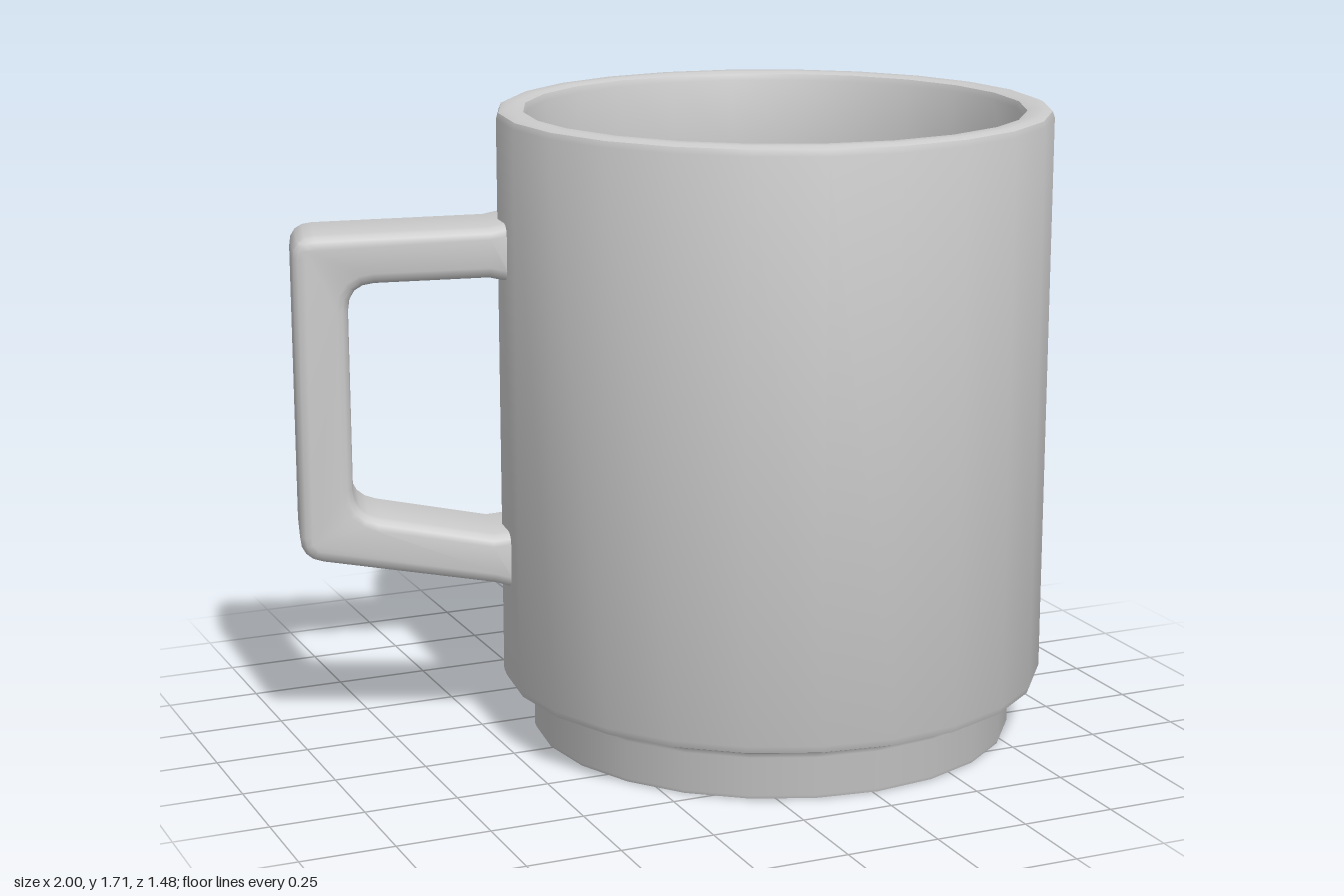
import * as THREE from 'three';
import { toCreasedNormals } from 'three/addons/utils/BufferGeometryUtils.js';

const SIDES = 24;
const material = new THREE.MeshStandardMaterial({ color: 0xcccccc });

function addMesh(parent, name, geometry) {
  const mesh = new THREE.Mesh(geometry, material);
  mesh.name = name;
  parent.add(mesh);
  return mesh;
}

// Closed outline whose listed corners [x, y, radius] are rounded
function roundedShape(corners) {
  const shape = new THREE.Shape();
  const pts = corners.map(([x, y]) => new THREE.Vector2(x, y));
  const n = pts.length;
  const towards = (a, b, d) => a.clone().add(b.clone().sub(a).setLength(d));
  pts.forEach((p, i) => {
    const r = corners[i][2] || 0;
    const from = r ? towards(p, pts[(i + n - 1) % n], r) : p;
    if (i === 0) shape.moveTo(from.x, from.y);
    else shape.lineTo(from.x, from.y);
    if (r) {
      const to = towards(p, pts[(i + 1) % n], r);
      shape.quadraticCurveTo(p.x, p.y, to.x, to.y);
    }
  });
  return shape;
}

export function createModel() {
  const model = new THREE.Group();
  model.name = 'mug';

  const cup = new THREE.Group();
  cup.name = 'cup';
  cup.position.x = 0.26;
  model.add(cup);

  // Body: stepped foot, straight wall, rounded rim and hollow inside
  const profile = [
    [0, 0], [0.645, 0], [0.653, 0.003], [0.656, 0.012],
    [0.656, 0.115], [0.662, 0.133], [0.678, 0.145],
    [0.715, 0.149], [0.732, 0.156], [0.739, 0.175],
    [0.739, 1.685], [0.733, 1.701], [0.717, 1.708],
    [0.684, 1.708], [0.667, 1.702], [0.66, 1.685],
    [0.652, 1.5], [0.652, 0.25], [0, 0.25],
  ].map(([r, y]) => new THREE.Vector2(r, y));
  addMesh(cup, 'body', toCreasedNormals(new THREE.LatheGeometry(profile, SIDES), 0.65));

  // Drink surface
  const drink = addMesh(cup, 'drink', new THREE.CircleGeometry(0.654, SIDES));
  drink.rotation.x = -Math.PI / 2;
  drink.position.y = 1.49;

  // Handle: C-shaped outline with flared roots, extruded with soft edges
  const outline = roundedShape([
    [0.69, 0.425], [0.735, 0.436], [0.77, 0.447],
    [1.283, 0.535, 0.06],
    [1.283, 1.404, 0.06],
    [0.77, 1.415], [0.735, 1.422], [0.69, 1.43],
    [0.69, 1.265], [0.735, 1.272], [0.77, 1.28],
    [1.14, 1.273, 0.07],
    [1.14, 0.653, 0.07],
    [0.77, 0.582], [0.735, 0.586], [0.69, 0.59],
  ]);
  const width = 0.25, bevel = 0.03;
  const handleGeometry = new THREE.ExtrudeGeometry(outline, {
    depth: width - 2 * bevel,
    bevelThickness: bevel,
    bevelSize: bevel,
    bevelOffset: -bevel,
    bevelSegments: 3,
    curveSegments: 4,
  });
  handleGeometry.translate(0, 0, -width / 2 + bevel + 0.018);
  const handle = addMesh(cup, 'handle', toCreasedNormals(handleGeometry, 0.65));
  handle.rotation.y = THREE.MathUtils.degToRad(165);

  return model;
}
